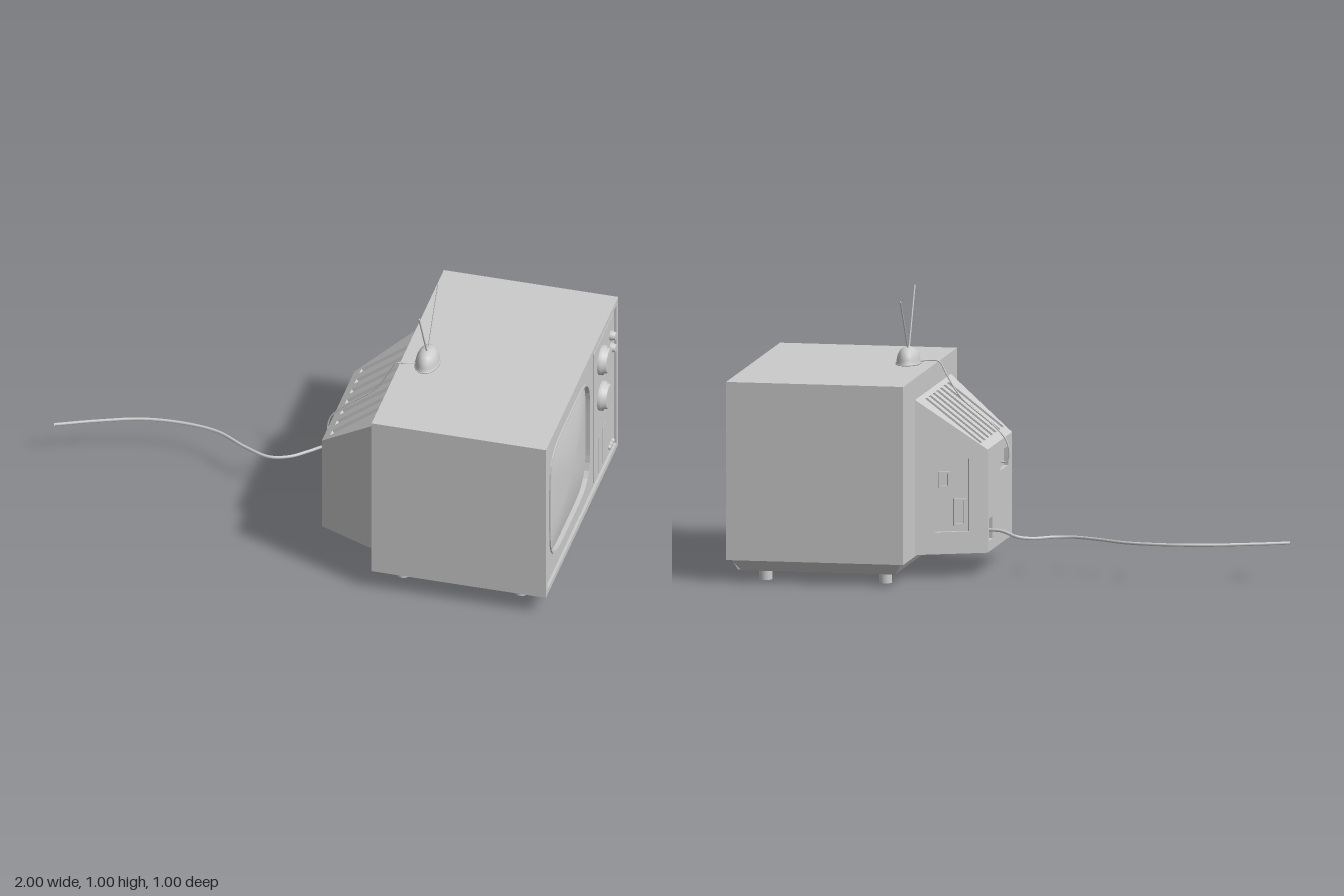
import * as THREE from 'three';

const V = (x, y, z) => new THREE.Vector3(x, y, z);
const grey = new THREE.MeshStandardMaterial({ color: 0xcccccc, side: THREE.DoubleSide });
const flat = new THREE.MeshStandardMaterial({ color: 0xcccccc, side: THREE.DoubleSide, flatShading: true });

function add(parent, name, geometry, x = 0, y = 0, z = 0, material = grey) {
  const mesh = new THREE.Mesh(geometry, material);
  mesh.name = name;
  mesh.position.set(x, y, z);
  parent.add(mesh);
  return mesh;
}

const polygon = (pts) => new THREE.Shape(pts.map(([x, y]) => new THREE.Vector2(x, y)));
const rect = (x0, y0, x1, y1) => polygon([[x0, y0], [x1, y0], [x1, y1], [x0, y1]]);
const extrude = (shape, depth) => new THREE.ExtrudeGeometry(shape, { depth, bevelEnabled: false });

// Flat wall through coplanar corners (counter-clockwise from outside), with recessed rectangles
function wall(parent, name, corners, recesses = [], depth = 0.015) {
  const u = corners[1].clone().sub(corners[0]).normalize();
  const n = u.clone().cross(corners[corners.length - 1].clone().sub(corners[0])).normalize();
  const v = n.clone().cross(u);
  const points = corners.map((c) => {
    const d = c.clone().sub(corners[0]);
    return [d.dot(u), d.dot(v)];
  });
  const group = new THREE.Group();
  group.name = name;
  group.matrix.makeBasis(u, v, n).setPosition(corners[0]);
  group.matrix.decompose(group.position, group.quaternion, group.scale);
  const shape = polygon(points);
  shape.holes = recesses.map((r) => rect(...r));
  add(group, name + 'Face', extrude(shape, depth), 0, 0, -depth);
  for (const [x0, y0, x1, y1] of recesses) {
    add(group, name + 'RecessFloor', new THREE.PlaneGeometry(x1 - x0, y1 - y0), (x0 + x1) / 2, (y0 + y1) / 2, -depth);
  }
  parent.add(group);
  return group;
}

// Rounded screen outline as a superellipse
const SCREEN = { a: -0.14, y: 0.403, w: 0.275, h: 0.238 };
function outline(scale, count = 64) {
  const pts = [];
  for (let i = 0; i < count; i++) {
    const t = (i / count) * Math.PI * 2, c = Math.cos(t), s = Math.sin(t);
    const k = scale / Math.pow(Math.abs(c) ** 5 + Math.abs(s) ** 5, 0.2);
    pts.push([SCREEN.a + SCREEN.w * c * k, SCREEN.y + SCREEN.h * s * k]);
  }
  return pts;
}

// Domed glass from concentric rings
function screenGlass() {
  const rings = 10, count = 64, pos = [], index = [];
  for (let r = 0; r <= rings; r++) {
    const s = r / rings;
    for (const [x, y] of outline(s, count)) pos.push(x, y, 0.952 + 0.027 * (1 - s * s));
  }
  for (let r = 0; r < rings; r++) {
    for (let i = 0; i < count; i++) {
      const a = r * count + i, b = r * count + ((i + 1) % count);
      index.push(a, a + count, b + count, a, b + count, b);
    }
  }
  const g = new THREE.BufferGeometry();
  g.setAttribute('position', new THREE.Float32BufferAttribute(pos, 3));
  g.setIndex(index);
  g.computeVertexNormals();
  return g;
}

const lathe = (pts, segments = 32) => new THREE.LatheGeometry(pts.map(([r, y]) => new THREE.Vector2(r, y)), segments);
const tube = (pts, radius, segments = 80) =>
  new THREE.TubeGeometry(new THREE.CatmullRomCurve3(pts.map((p) => V(...p))), segments, radius, 8);

function buildFront(model) {
  // Local x runs along -z of the model, local z points out of the screen
  const front = new THREE.Group();
  front.name = 'front';
  front.rotation.y = Math.PI / 2;
  model.add(front);

  const frame = rect(-0.5, 0.08, 0.5, 0.728);
  frame.holes.push(rect(-0.478, 0.102, 0.478, 0.706));
  add(front, 'frontFrame', extrude(frame, 0.035), 0, 0, 0.94);

  const plate = rect(-0.478, 0.102, 0.478, 0.706);
  plate.holes.push(polygon(outline(1)));
  add(front, 'facePlate', extrude(plate, 0.025), 0, 0, 0.94);
  const rim = polygon(outline(1.012));
  rim.holes.push(polygon(outline(0.985)));
  add(front, 'screenRim', extrude(rim, 0.02), 0, 0, 0.95);
  add(front, 'screen', screenGlass());

  // Control strip with dials, buttons and speaker bars
  add(front, 'controlPanel', new THREE.BoxGeometry(0.266, 0.565, 0.006), 0.322, 0.402, 0.966);
  const knob = (name, a, y, r, depth) => {
    const g = lathe([[r, 0], [r, depth * 0.45], [r * 0.88, depth * 0.5], [r * 0.82, depth * 0.95], [r * 0.75, depth], [0, depth]]);
    add(front, name, g.toNonIndexed().rotateX(Math.PI / 2), a, y, 0.968);
  };
  for (const y of [0.596, 0.44]) {
    knob('channelDial', 0.285, y, 0.055, 0.032);
    add(front, 'dialGrip', new THREE.BoxGeometry(0.014, 0.08, 0.012), 0.285, y, 0.992);
  }
  for (const y of [0.615, 0.562]) knob('smallKnob', 0.416, y, 0.018, 0.022);
  for (const a of [0.394, 0.415, 0.436]) knob('button', a, 0.14, 0.0095, 0.01);
  for (let i = 0; i < 5; i++) {
    add(front, 'speakerBar', new THREE.BoxGeometry(0.018, 0.155, 0.004), 0.222 + i * 0.031, 0.205, 0.968);
  }
}

function buildHousing(model) {
  const rear = new THREE.Group();
  rear.name = 'rearHousing';
  model.add(rear);
  const b = 0.085, x0 = 0.08, x1 = 0.326;
  const slots = [];
  for (let i = 0; i < 7; i++) {
    const c = 0.02 + i * 0.0672;
    slots.push([c - 0.015, 0.035, c + 0.015, 0.29]);
  }
  wall(rear, 'ventedSlope', [V(x0, 0.46, -0.17), V(x0, 0.46, 0.28), V(x1, 0.65, 0.385), V(x1, 0.65, -0.28)], slots);
  wall(rear, 'rearWall', [V(x0, b, -0.17), V(x0, b, 0.28), V(x0, 0.46, 0.28), V(x0, 0.46, -0.17)],
    [[0.24, 0.265, 0.38, 0.335], [0.025, 0.04, 0.09, 0.12]]);
  wall(rear, 'leftWall', [V(x0, b, 0.28), V(x1, b, 0.385), V(x1, 0.65, 0.385), V(x0, 0.46, 0.28)]);
  const side = wall(rear, 'socketWall', [V(x1, b, -0.28), V(x0, b, -0.17), V(x0, 0.46, -0.17), V(x1, 0.65, -0.28)],
    [[0.073, 0.08, 0.2, 0.345]]);
  wall(rear, 'housingBottom', [V(x0, b, -0.17), V(x1, b, -0.28), V(x1, b, 0.385), V(x0, b, 0.28)]);

  // Sockets inside the side recess
  for (const [x, y, w, h] of [[0.11, 0.27, 0.042, 0.06], [0.168, 0.15, 0.045, 0.1]]) {
    const socket = rect(-w / 2, -h / 2, w / 2, h / 2);
    socket.holes.push(rect(-w / 2 + 0.008, -h / 2 + 0.008, w / 2 - 0.008, h / 2 - 0.008));
    add(side, 'socket', extrude(socket, 0.012), x, y, -0.015);
  }
}

function buildBase(model) {
  // Box narrowing toward the bottom
  const g = new THREE.BoxGeometry(0.625, 0.046, 0.955);
  const p = g.attributes.position;
  for (let i = 0; i < p.count; i++) {
    if (p.getY(i) < 0) p.setXYZ(i, p.getX(i) - Math.sign(p.getX(i)) * 0.03, p.getY(i), p.getZ(i) - Math.sign(p.getZ(i)) * 0.043);
  }
  g.computeVertexNormals();
  add(model, 'base', g, 0.65, 0.058, 0, flat);

  const slat = extrude(polygon([[0.925, 0.037], [0.944, 0.037], [0.972, 0.081], [0.95, 0.081]]), 0.017);
  for (let i = 0; i < 27; i++) add(model, 'grilleSlat', slat, 0, 0, -0.4355 + i * 0.0329);

  for (const x of [0.41, 0.85]) {
    for (const z of [-0.398, 0.378]) add(model, 'foot', new THREE.CylinderGeometry(0.024, 0.024, 0.042, 24), x, 0.021, z);
  }
}

function buildAntenna(model) {
  const x = 0.42, z = 0.078;
  const dome = lathe([[0, 0], [1.08, 0], [1.08, 0.06], [1, 0.07], [0.98, 0.3], [0.88, 0.58], [0.7, 0.81], [0.45, 0.95], [0.15, 1], [0, 1]]);
  add(model, 'antennaBase', dome.scale(0.042, 0.062, 0.068), x, 0.728, z);
  const rod = (y, tip) => {
    add(model, 'antennaRod', tube([[x, 0.78, z - Math.sign(z - tip) * 0.008], [x, y, tip]], 0.003, 1));
    add(model, 'antennaTip', new THREE.SphereGeometry(0.0035, 8, 6), x, y - 0.001, tip);
  };
  rod(0.996, 0.195);
  rod(0.972, -0.07);
  add(model, 'antennaCable', tube([[0.39, 0.735, 0.1], [0.35, 0.737, 0.115], [0.315, 0.733, 0.118], [0.29, 0.69, 0.118],
    [0.235, 0.605, 0.118], [0.12, 0.51, 0.118], [0.07, 0.455, 0.118], [0.058, 0.4, 0.118], [0.068, 0.375, 0.118], [0.095, 0.375, 0.118]], 0.003));
}

export function createModel() {
  const model = new THREE.Group();
  model.name = 'television';
  add(model, 'cabinet', new THREE.BoxGeometry(0.615, 0.648, 1), 0.6325, 0.404, 0);
  buildFront(model);
  buildHousing(model);
  buildBase(model);
  buildAntenna(model);
  add(model, 'powerCord', tube([[0.095, 0.16, -0.112], [0.04, 0.158, -0.118], [-0.02, 0.14, -0.132], [-0.07, 0.131, -0.1],
    [-0.13, 0.13, -0.05], [-0.2, 0.13, -0.03], [-0.3, 0.13, -0.068], [-0.42, 0.13, -0.135], [-0.55, 0.13, -0.155],
    [-0.7, 0.13, -0.142], [-0.85, 0.13, -0.09], [-1, 0.13, -0.025]], 0.006, 120));
  return model;
}
